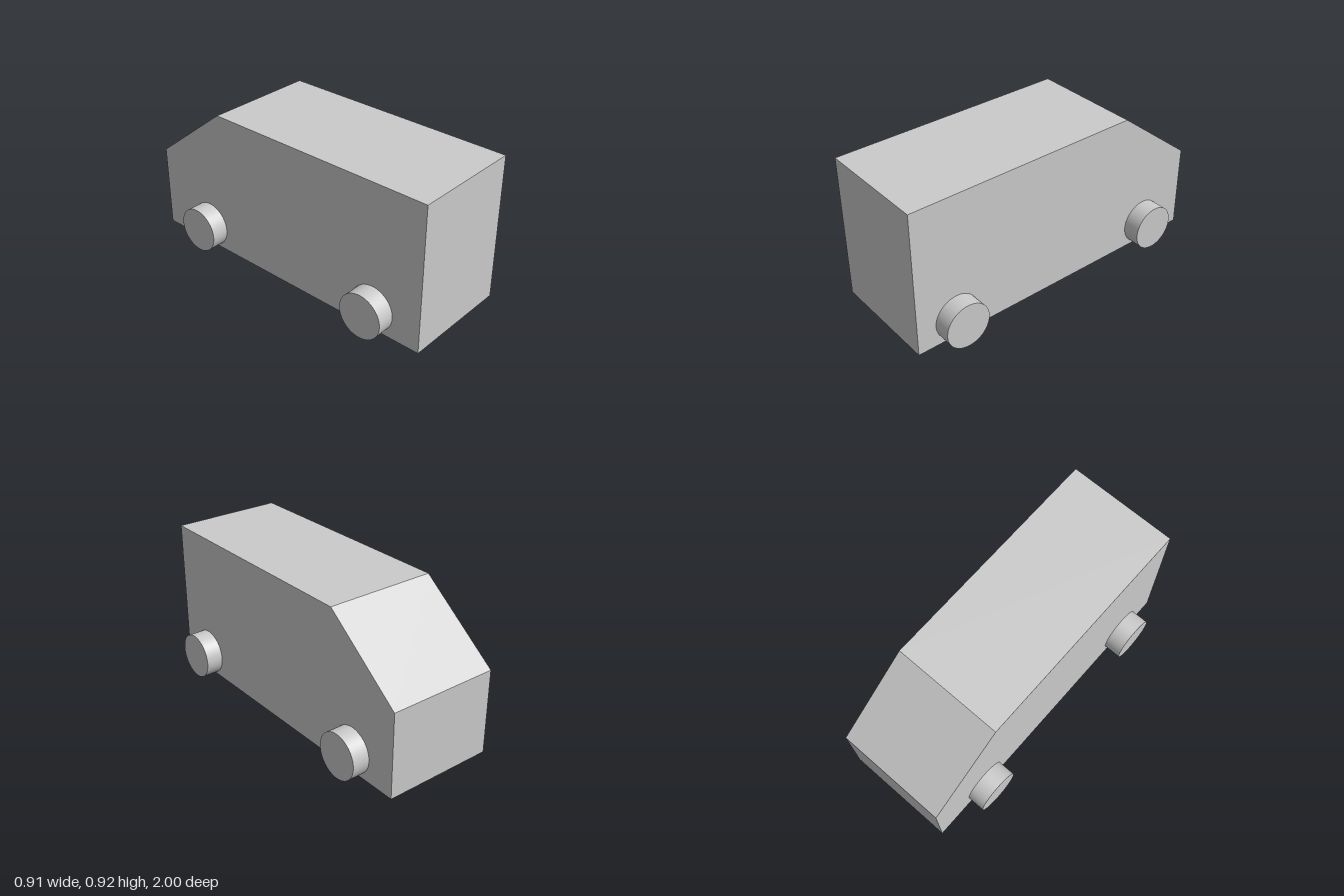
import * as THREE from 'three';

export function createModel() {
  const group = new THREE.Group();
  group.name = 'van';
  const material = new THREE.MeshStandardMaterial({ color: 0xcccccc });

  // Body: side profile (z, y) extruded across the width
  const profile = new THREE.Shape([
    [1, 0.005], [1, 0.92], [-0.495, 0.92], [-1, 0.53], [-1, 0.005],
  ].map(([z, y]) => new THREE.Vector2(z, y)));
  const width = 0.692;
  const bodyGeometry = new THREE.ExtrudeGeometry(profile, { depth: width, bevelEnabled: false });
  bodyGeometry.translate(0, 0, -width / 2);
  bodyGeometry.rotateY(-Math.PI / 2);
  const body = new THREE.Mesh(bodyGeometry, material);
  body.name = 'body';
  group.add(body);

  // Wheels: plain discs standing out from the sides, slightly staggered
  const wheelGeometry = new THREE.CylinderGeometry(0.14, 0.14, 0.109, 64);
  wheelGeometry.rotateZ(Math.PI / 2);
  const wheels = [
    ['frontLeftWheel', 0.398, 0.14, 0.74],
    ['backLeftWheel', 0.398, 0.144, -0.68],
    ['frontRightWheel', -0.4, 0.146, 0.68],
    ['backRightWheel', -0.4, 0.146, -0.61],
  ];
  for (const [name, x, y, z] of wheels) {
    const wheel = new THREE.Mesh(wheelGeometry, material);
    wheel.name = name;
    wheel.position.set(x, y, z);
    group.add(wheel);
  }
  return group;
}
